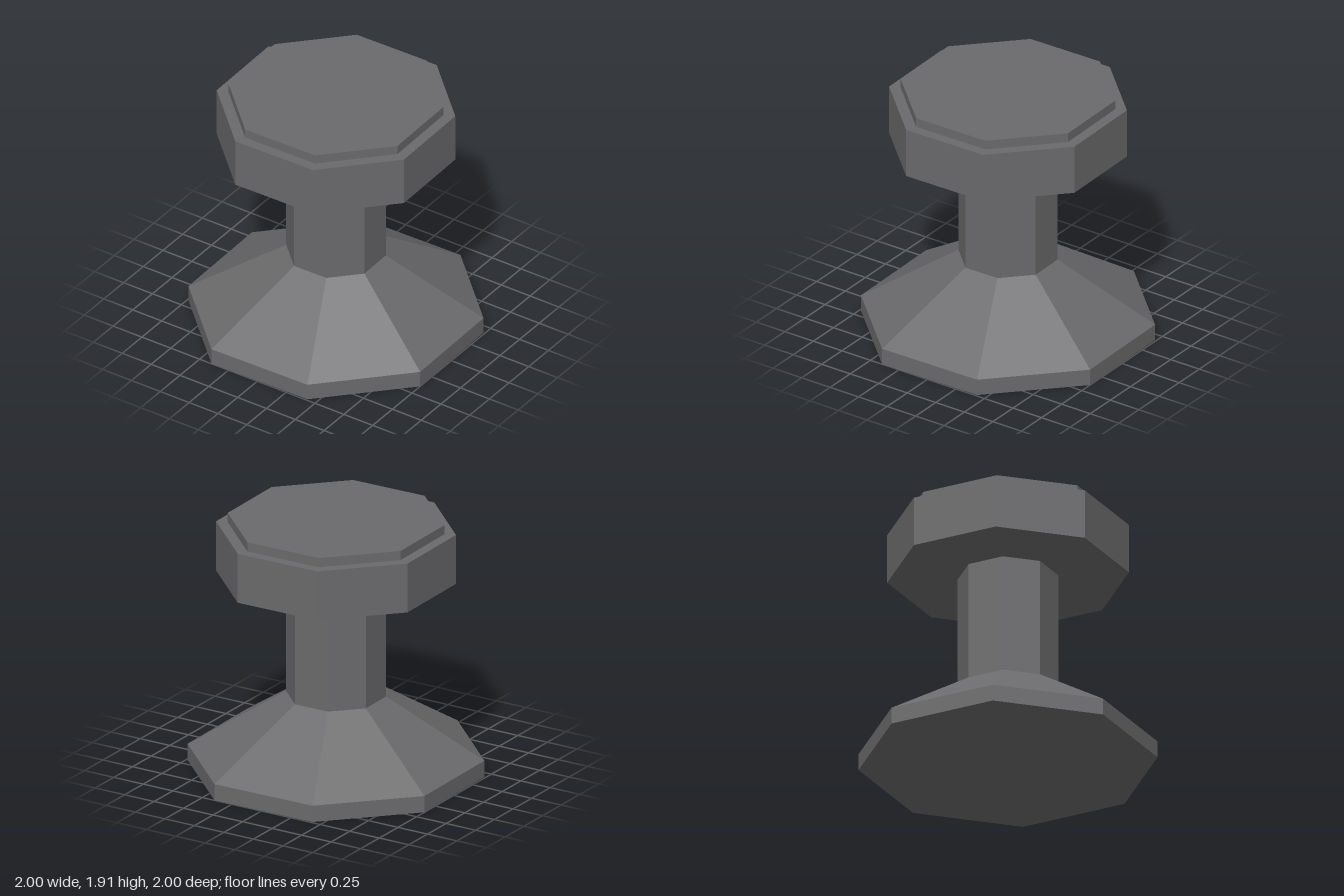
import * as THREE from 'three';

const SIDES = 8;
const TWIST = THREE.MathUtils.degToRad(23.35);

export function createModel() {
  const group = new THREE.Group();
  const darkGrey = new THREE.MeshStandardMaterial({ color: 0x6a6a6c });
  darkGrey.name = 'darkGrey';

  // Octagonal section between two heights, with faceted normals
  function section(name, y0, y1, bottomRadius, topRadius, open = false) {
    const geometry = new THREE.CylinderGeometry(
      topRadius, bottomRadius, y1 - y0, SIDES, 1, open, TWIST
    ).toNonIndexed();
    geometry.computeVertexNormals();
    const mesh = new THREE.Mesh(geometry, darkGrey);
    mesh.name = name;
    mesh.position.y = (y0 + y1) / 2;
    group.add(mesh);
  }

  section('basePlate', 0, 0.125, 1.076, 1.076);
  section('baseSlope', 0.125, 0.575, 1.076, 0.363, true);
  section('column', 0.575, 1.47, 0.363, 0.363, true);
  section('head', 1.47, 1.845, 0.87, 0.87);
  section('topCap', 1.845, 1.915, 0.785, 0.785);

  return group;
}
